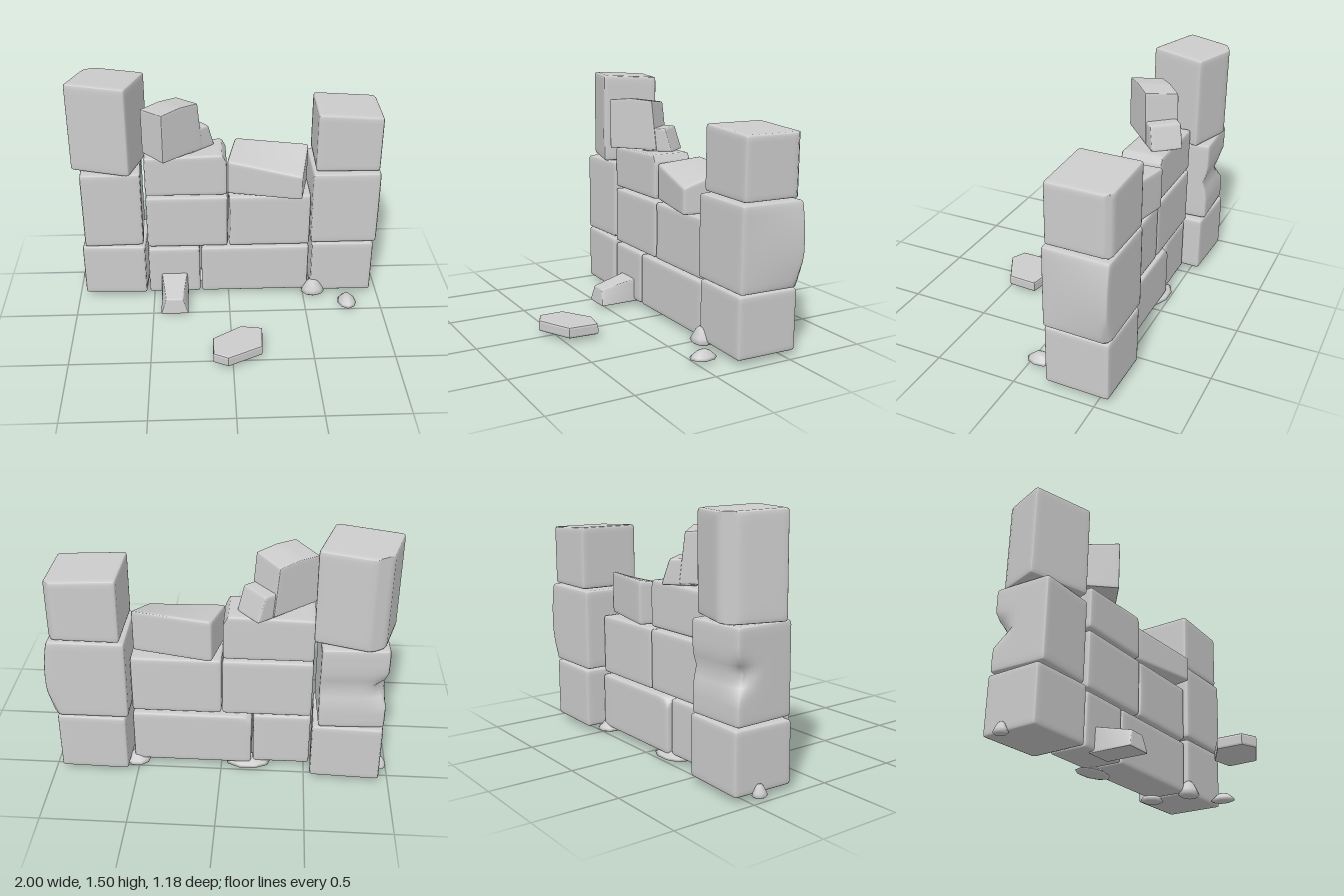
import * as THREE from 'three';
import { mergeVertices } from 'three/addons/utils/BufferGeometryUtils.js';

const stone = new THREE.MeshStandardMaterial({ color: 0xcccccc });

// Smooth-edged block between two corners. rot: turn about y, cuts: planes [nx, ny, nz, distance]
// in the block's own frame, move(v, s): free shaping with s running -1..1 along each axis.
function block(name, [x0, x1], [y0, y1], [z0, z1], { rot = 0, r = 0.018, cuts = [], move } = {}) {
  const half = new THREE.Vector3(x1 - x0, y1 - y0, z1 - z0).multiplyScalar(0.5);
  let geo = new THREE.BoxGeometry(2, 2, 2, 14, 14, 14);
  geo.deleteAttribute('uv');
  geo.deleteAttribute('normal');
  geo = mergeVertices(geo);
  const inner = half.clone().subScalar(r);
  const pos = geo.attributes.position;
  const v = new THREE.Vector3(), core = new THREE.Vector3(), n = new THREE.Vector3();
  for (let i = 0; i < pos.count; i++) {
    v.fromBufferAttribute(pos, i);
    // crowd the grid towards the edges, then round them
    v.set(...v.toArray().map((t) => Math.sin(t * Math.PI / 2))).multiply(half);
    core.copy(v).clamp(inner.clone().negate(), inner);
    v.sub(core).setLength(r).add(core);
    if (move) move(v, v.clone().divide(half));
    for (const [a, b, c, d] of cuts) {
      n.set(a, b, c).normalize();
      const over = v.dot(n) - d;
      if (over > 0) v.addScaledVector(n, -over);
    }
    pos.setXYZ(i, v.x, v.y, v.z);
  }
  geo.computeVertexNormals();
  const mesh = new THREE.Mesh(geo, stone);
  mesh.name = name;
  mesh.position.set((x0 + x1) / 2, (y0 + y1) / 2, (z0 + z1) / 2);
  mesh.rotation.y = rot;
  return mesh;
}

// Low domed pebble with a slightly tucked-in base
function pebble(name, x, y, z, rx, h, rz) {
  const profile = [[0, 0], [0.75, 0], [1, 0.15], [0.85, 0.4], [0.5, 0.85], [0.25, 1], [0, 1]]
    .map(([a, b]) => new THREE.Vector2(a, b));
  const mesh = new THREE.Mesh(new THREE.LatheGeometry(profile, 9), stone);
  mesh.name = name;
  mesh.position.set(x, y, z);
  mesh.scale.set(rx, h, rz);
  return mesh;
}

export function createModel() {
  const g = new THREE.Group();
  g.name = 'ruinedWall';

  // Right-hand tall pillar
  g.add(
    block('rightPillarBase', [-0.95, -0.54], [0.03, 0.39], [-0.57, -0.2], { rot: -0.04 }),
    block('rightPillarMiddle', [-0.94, -0.56], [0.4, 0.92], [-0.57, -0.2], {
      rot: 0.03,
      // chipped back corner and worn back face
      move: (v, s) => {
        const chip = Math.exp(-Math.pow((s.y + 0.02) / 0.22, 2));
        const back = Math.max(0, -s.z), side = Math.max(0, -s.x);
        v.z += back * (0.025 * chip + 0.06 * chip * side ** 3);
        v.x += side ** 3 * back ** 3 * 0.06 * chip;
      },
    }),
    block('rightPillarTop', [-0.95, -0.56], [0.925, 1.495], [-0.567, -0.21], {
      rot: -0.3,
      cuts: [[-1, 0, -1, 0.205]],
      move: (v, s) => { v.y += 0.008 * s.z * (s.y > 0 ? 1 : 0); },
    }),
  );

  // Left-hand pillar
  g.add(
    block('leftPillarBase', [0.55, 0.955], [0.03, 0.4], [-0.57, -0.18], { rot: -0.02 }),
    block('leftPillarMiddle', [0.535, 0.965], [0.41, 0.91], [-0.575, -0.175], {
      // side swells towards the back at mid height
      move: (v, s) => {
        const right = (1 + s.x) / 2, back = (1 - s.z) / 2;
        v.x += right * back * (0.012 + 0.03 * (1 - s.y * s.y));
      },
      cuts: [[1, -0.35, -0.8, 0.325]],
    }),
    block('leftPillarTop', [0.555, 0.96], [0.92, 1.3], [-0.575, -0.195], {
      rot: -0.02,
      move: (v, s) => { v.y += (1 + s.y) / 2 * (-0.012 * s.x - 0.004); },
      cuts: [[1, 0, -1, 0.25]],
    }),
  );

  // Wall courses between the pillars
  g.add(
    block('lowerCourseShort', [-0.53, -0.19], [0.03, 0.37], [-0.45, -0.2]),
    block('lowerCourseLong', [-0.18, 0.53], [0.03, 0.37], [-0.47, -0.2], {
      cuts: [[-1, 1, -0.8, 0.355]],
    }),
    block('middleCourseRight', [-0.53, -0.005], [0.385, 0.75], [-0.46, -0.2]),
    block('middleCourseLeft', [0, 0.53], [0.385, 0.75], [-0.46, -0.2], {
      move: (v, s) => { v.x += 0.012 * Math.max(0, -s.x) * (1 - s.y * s.y) * Math.max(0, s.z); },
    }),
    block('upperCourseRight', [-0.53, -0.01], [0.765, 1.04], [-0.46, -0.2], {
      cuts: [[1, 0.55, 0, 0.27]],
      move: (v, s) => { v.y += 0.007 * s.x * (1 + s.y) / 2; },
    }),
    block('upperCourseLeft', [0.015, 0.495], [0.765, 1.03], [-0.45, -0.165], {
      rot: -0.22,
      // top falls away to the front, most at the outer end
      move: (v, s) => { v.y -= (1 + s.y) / 2 * (1 + s.z) / 2 * (0.07 + 0.035 * s.x); },
    }),
  );

  // Loose stone resting askew on the wall, with a low step behind
  const loose = new THREE.Group();
  loose.name = 'looseTopStone';
  loose.add(
    block('looseStoneBody', [-0.165, 0.155], [1.05, 1.365], [-0.105, 0.105], {
      r: 0.008,
      move: (v, s) => {
        v.y += (1 + s.y) / 2 * (0.012 * s.z - 0.012 * (s.x < 0 ? -s.x : s.x));
        v.x -= (1 + s.x) / 2 * (1 + s.y) / 2 * 0.035;
      },
    }),
    block('looseStoneStep', [0.05, 0.26], [1.04, 1.19], [-0.095, 0.1], {
      r: 0.012,
      move: (v, s) => { v.x -= (1 + s.x) / 2 * (1 + s.y) / 2 * 0.05; },
    }),
  );
  loose.position.set(-0.345, 0, -0.28);
  loose.rotation.y = 0.7;
  g.add(loose);

  // Fallen wedge leaning against the foot of the wall
  g.add(block('fallenWedge', [-0.45, -0.27], [0.02, 0.185], [-0.24, 0.04], {
    r: 0.01,
    move: (v, s) => {
      const front = (1 + s.z) / 2, top = (1 + s.y) / 2;
      v.y -= front * top * 0.06;
      v.x *= 1 - 0.4 * top * front;
      v.z -= 0.015 * top * front;
    },
  }));

  // Flat six-sided slab lying in front
  const outline = [[-0.11, -0.4], [-0.11, -0.54], [-0.03, -0.58], [0.17, -0.48],
    [0.18, -0.31], [0.06, -0.29]].map(([x, y]) => new THREE.Vector2(x, y));
  const b = 0.014;
  const slabGeo = new THREE.ExtrudeGeometry(new THREE.Shape(outline), {
    depth: 0.07 - 2 * b, bevelSize: 0.01, bevelThickness: b, bevelSegments: 2, steps: 1,
  });
  slabGeo.rotateX(-Math.PI / 2);
  const slab = new THREE.Mesh(slabGeo, stone);
  slab.name = 'fallenSlab';
  slab.position.y = 0.027 + b;
  g.add(slab);

  // Pebbles around the foot
  [
    [0.78, 0.012, -0.06, 0.062, 0.055, 0.085],
    [0.565, 0.012, -0.19, 0.08, 0.1, 0.065],
    [0.515, 0, -0.44, 0.08, 0.06, 0.075],
    [-0.96, 0.015, -0.43, 0.04, 0.07, 0.045],
    [-0.16, 0.005, -0.42, 0.14, 0.04, 0.08],
  ].forEach((p, i) => g.add(pebble(`pebble${i + 1}`, ...p)));

  return g;
}
